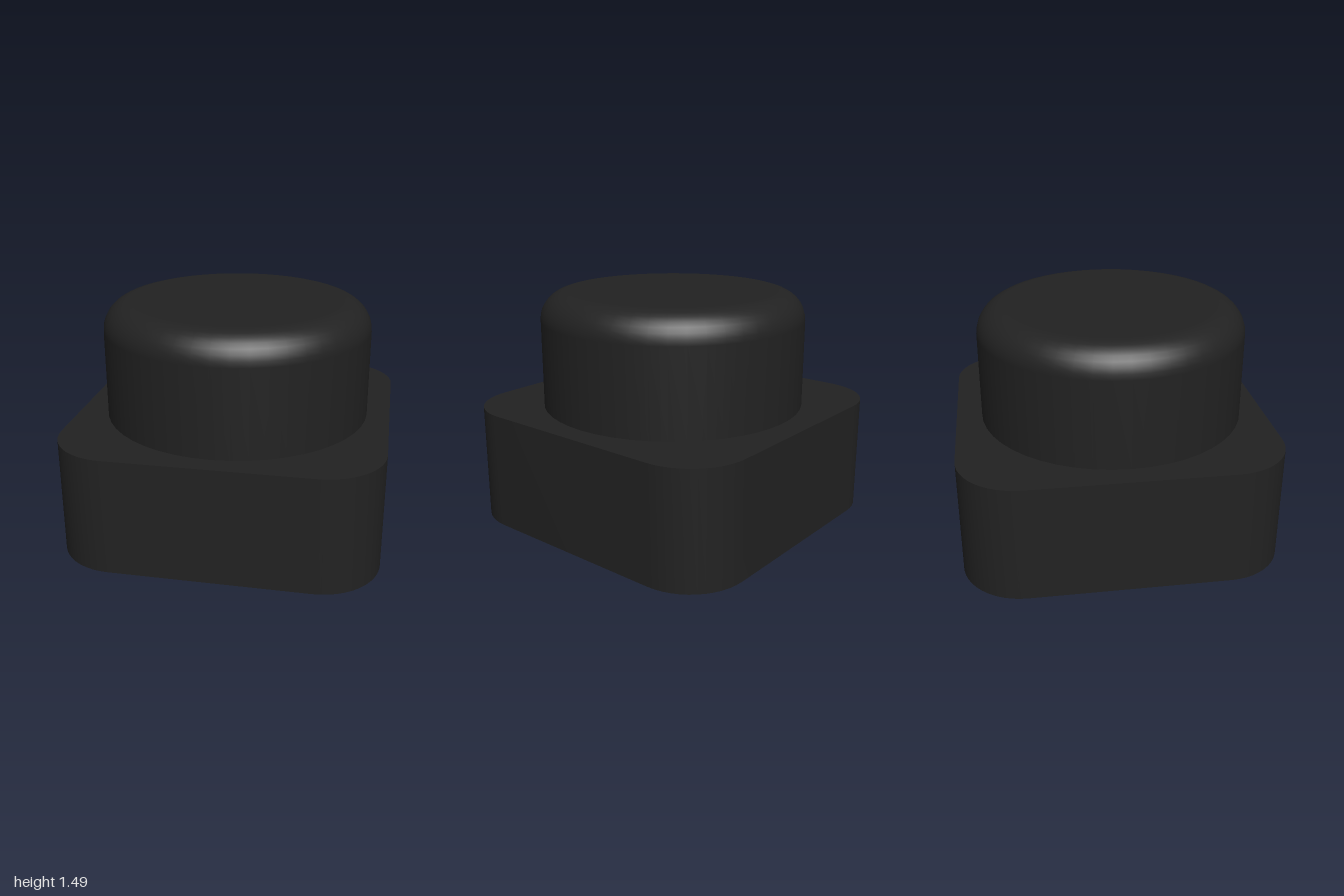
import * as THREE from 'three';
import { toCreasedNormals } from 'three/addons/utils/BufferGeometryUtils.js';

const BASE_HEIGHT = 0.745;
const TOP = 1.485;

// Square outline with rounded corners, centred on the origin
function roundedSquare(half, r) {
  const s = new THREE.Shape();
  const c = half - r;
  s.absarc(c, c, r, 0, Math.PI / 2);
  s.absarc(-c, c, r, Math.PI / 2, Math.PI);
  s.absarc(-c, -c, r, Math.PI, Math.PI * 1.5);
  s.absarc(c, -c, r, Math.PI * 1.5, Math.PI * 2);
  s.closePath();
  return s;
}

export function createModel() {
  const model = new THREE.Group();
  model.name = 'buttonBlock';
  const dark = new THREE.MeshStandardMaterial({ color: 0x222222 });

  // Base: rounded square block
  const baseGeometry = new THREE.ExtrudeGeometry(roundedSquare(1, 0.38), {
    depth: BASE_HEIGHT, bevelEnabled: false, curveSegments: 6,
  });
  baseGeometry.rotateX(-Math.PI / 2);
  const base = new THREE.Mesh(toCreasedNormals(baseGeometry, 0.6), dark);
  base.name = 'base';
  model.add(base);

  // Cap: round button with a filleted top edge, set slightly forward
  const radius = 0.853, fillet = 0.18;
  const profile = [new THREE.Vector2(radius, BASE_HEIGHT)];
  for (let i = 0; i <= 8; i++) {
    const a = (i / 8) * Math.PI / 2;
    profile.push(new THREE.Vector2(
      radius - fillet + fillet * Math.cos(a),
      TOP - fillet + fillet * Math.sin(a),
    ));
  }
  profile.push(new THREE.Vector2(0, TOP));
  const cap = new THREE.Mesh(new THREE.LatheGeometry(profile, 48), dark);
  cap.name = 'cap';
  cap.position.z = 0.017;
  model.add(cap);

  return model;
}
